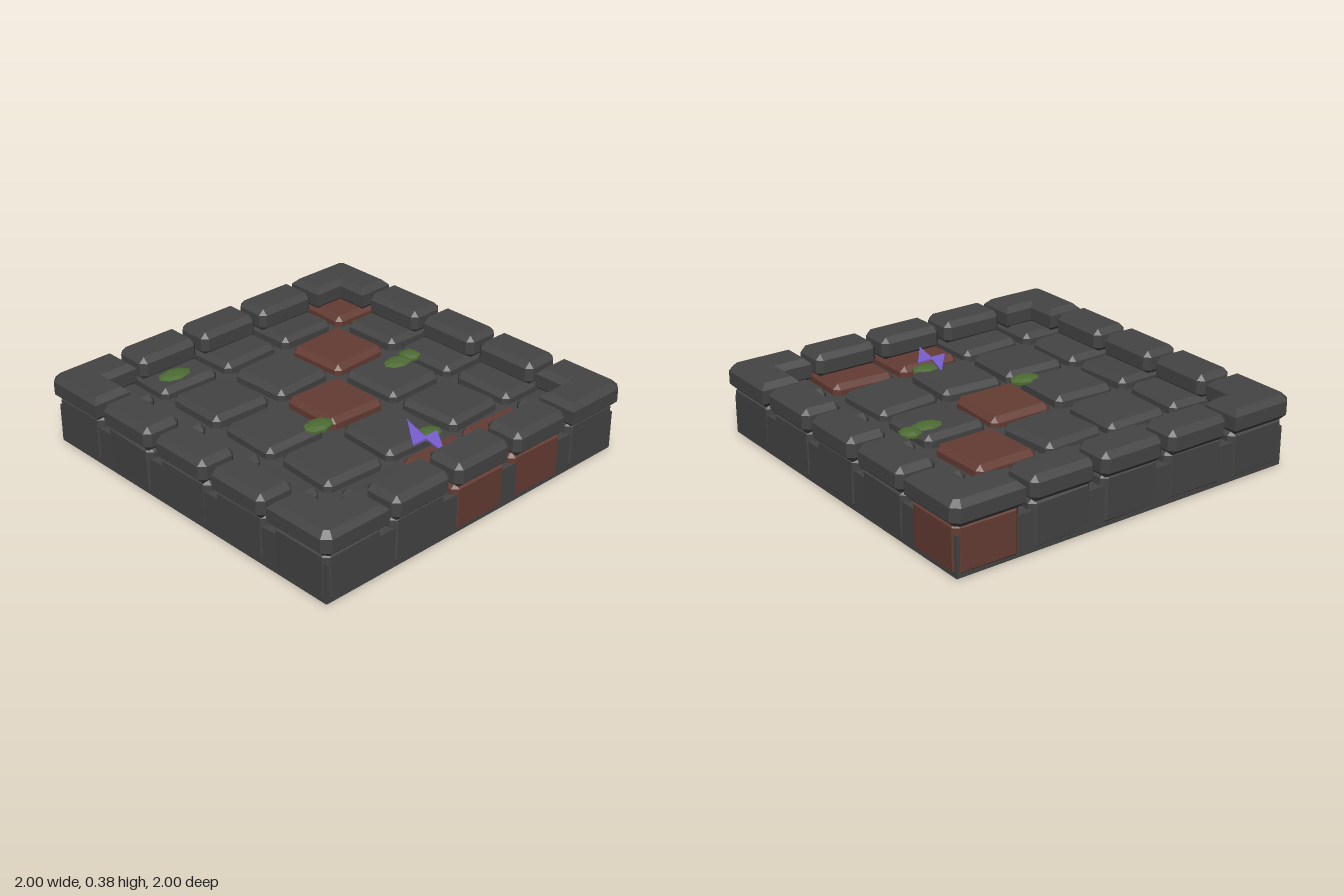
import * as THREE from 'three';
import { ConvexGeometry } from 'three/addons/geometries/ConvexGeometry.js';

const mat = (name, color, extra = {}) => {
  const m = new THREE.MeshStandardMaterial({ color, flatShading: true, ...extra });
  m.name = name;
  return m;
};

// Block with every edge cut at 45 degrees: three hull points per corner
function chamferBox(w, h, d, c) {
  const points = [];
  for (const sx of [-1, 1]) for (const sy of [-1, 1]) for (const sz of [-1, 1]) {
    const x = w / 2, y = h / 2, z = d / 2;
    points.push(
      new THREE.Vector3(sx * x, sy * (y - c), sz * (z - c)),
      new THREE.Vector3(sx * (x - c), sy * y, sz * (z - c)),
      new THREE.Vector3(sx * (x - c), sy * (y - c), sz * z)
    );
  }
  return new ConvexGeometry(points);
}

// L-shaped block for the corners of the rim, outer corner at (1, 1)
function cornerGeometry(y0, y1, c) {
  const o = 1 - c, i = 0.62 + c, n = 0.79 + c, k = 0.02;
  const shape = new THREE.Shape([
    [o - k, o], [i, o], [i, n], [n, n], [n, i], [o, i], [o, o - k],
  ].map(([x, y]) => new THREE.Vector2(x, y)));
  const geo = new THREE.ExtrudeGeometry(shape, {
    depth: y1 - y0 - 2 * c, bevelThickness: c, bevelSize: c, bevelSegments: 1,
  });
  // Lay the extrusion flat
  geo.rotateX(Math.PI / 2);
  geo.translate(0, y1 - c, 0);
  return geo;
}

export function createModel() {
  const group = new THREE.Group();
  const stone = mat('dark stone', 0x444444);
  const brick = mat('red brick', 0x643c33);
  const moss = mat('moss green', 0x4d6b33);
  const purple = mat('purple', 0x7a5fd0);

  const add = (name, geo, material, x = 0, y = 0, z = 0) => {
    const mesh = new THREE.Mesh(geo, material);
    mesh.name = name;
    mesh.position.set(x, y, z);
    group.add(mesh);
    return mesh;
  };

  // Mortar slab
  add('slab', new THREE.BoxGeometry(1.94, 0.206, 1.94), stone, 0, 0.107, 0);

  // Five by five paving blocks, each turned a little (degrees), rows from back to front
  const yaw = [
    [0, -1, 2, 1, -1],
    [-2, -1, 3, 2, 0],
    [1, -2, -2, 1, 0],
    [0, -3, -3, 3, 0],
    [0, 1, 0, -2, 1],
  ];
  const red = ['4,0', '3,1', '2,2', '2,4', '3,4'];
  const tileGeo = chamferBox(0.35, 0.265, 0.35, 0.028);
  for (let r = 0; r < 5; r++) for (let c = 0; c < 5; c++) {
    const isRed = red.includes(`${c},${r}`);
    const tile = add('pavingBlock', tileGeo, isRed ? brick : stone,
      (c - 2) * 0.4, isRed ? 0.1345 : 0.139, (r - 2) * 0.4);
    const tilt = THREE.MathUtils.degToRad(0.8);
    tile.rotation.set(tilt * ((r + 2 * c) % 3 - 1), THREE.MathUtils.degToRad(yaw[r][c]),
      tilt * ((2 * r + c) % 3 - 1));
  }

  // Raised rim: three stones per side and one corner stone, repeated around
  const stoneGeo = chamferBox(0.36, 0.13, 0.21, 0.03);
  const cornerGeo = cornerGeometry(0.25, 0.38, 0.03);
  for (let side = 0; side < 4; side++) {
    const rim = new THREE.Group();
    rim.name = 'rimSide';
    rim.rotation.y = side * Math.PI / 2;
    for (const x of [-0.4, 0, 0.4]) {
      const s = new THREE.Mesh(stoneGeo, stone);
      s.name = 'rimStone';
      s.position.set(x, 0.315, 0.895);
      rim.add(s);
    }
    const corner = new THREE.Mesh(cornerGeo, stone);
    corner.name = 'cornerStone';
    rim.add(corner);
    group.add(rim);
  }

  // Moss clumps: x, z, half width, half depth
  const clump = new THREE.SphereGeometry(1, 8, 5);
  for (const [x, z, w, d] of [
    [-0.43, -0.73, 0.1, 0.062], [-0.25, 0.145, 0.09, 0.062], [0.49, -0.05, 0.09, 0.062],
    [0.595, -0.065, 0.06, 0.062], [0.08, 0.56, 0.08, 0.06],
  ]) add('moss', clump, moss, x, 0.265, z).scale.set(w, 0.022, d);

  // Thin zigzag bolt lying above the paving
  const bolt = new THREE.Shape([
    [0.068, -0.43], [-0.088, -0.622], [0, -0.622], [-0.035, -0.78], [0.096, -0.604], [0.012, -0.604],
  ].map(([x, y]) => new THREE.Vector2(x, y)));
  const boltGeo = new THREE.ExtrudeGeometry(bolt, { depth: 0.009, bevelEnabled: false });
  boltGeo.rotateX(-Math.PI / 2);
  add('bolt', boltGeo, purple, 0, 0.288, 0);

  return group;
}
